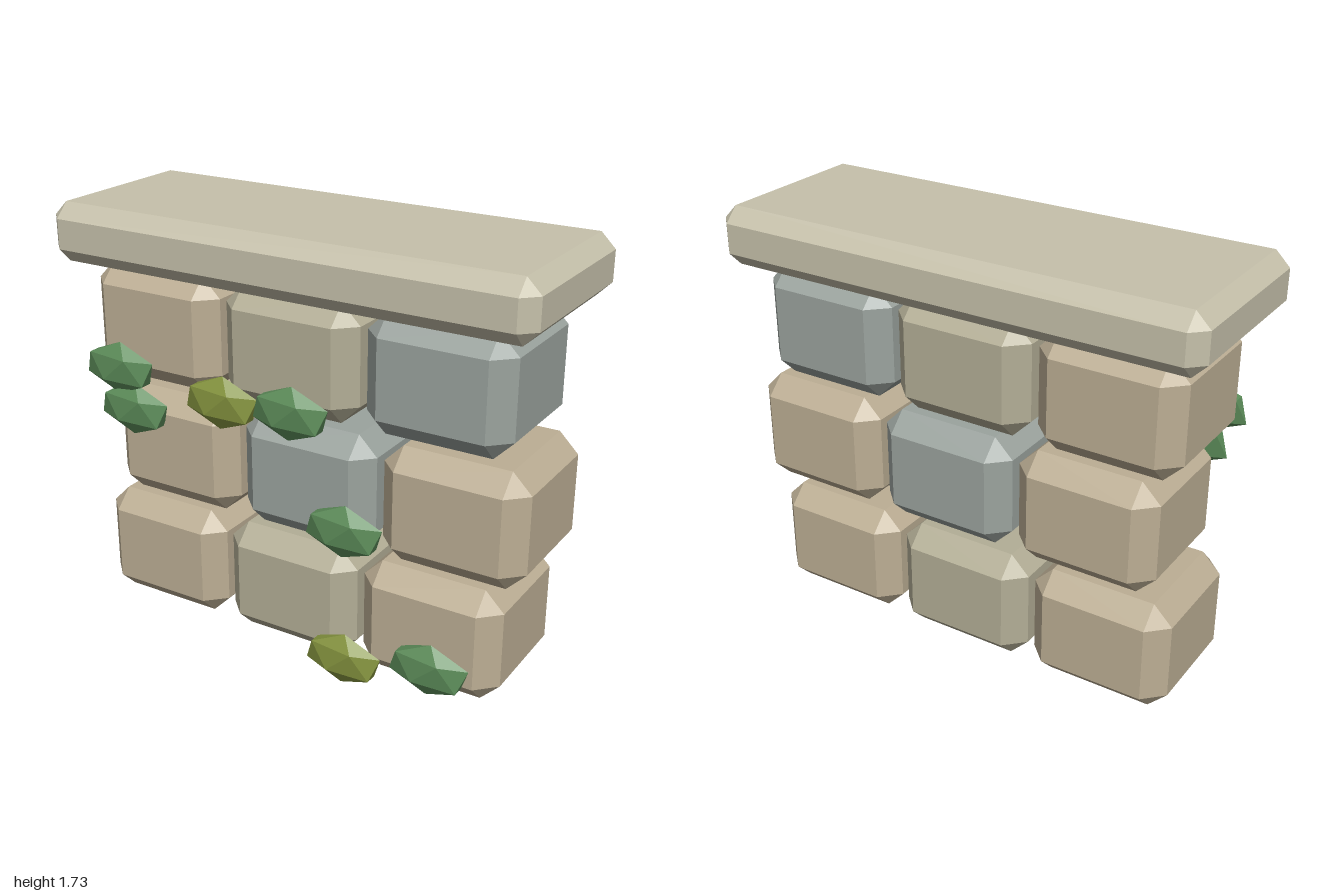
import * as THREE from 'three';
import { ConvexGeometry } from 'three/addons/geometries/ConvexGeometry.js';

const material = (color) => new THREE.MeshStandardMaterial({ color, flatShading: true });
const tan = material(0xbcae94);
const moss = material(0xb3ae96);
const slate = material(0x9ba39e);
const capStone = material(0xc6c1ab);
const green = material(0x5c8c59);
const olive = material(0x85943f);

// Box with every edge bevelled and triangular corners
function chamferedBox(w, h, d, c) {
  const points = [];
  for (const sx of [-1, 1]) for (const sy of [-1, 1]) for (const sz of [-1, 1]) {
    const [x, y, z] = [w / 2, h / 2, d / 2];
    points.push(
      new THREE.Vector3(sx * x, sy * (y - c), sz * (z - c)),
      new THREE.Vector3(sx * (x - c), sy * y, sz * (z - c)),
      new THREE.Vector3(sx * (x - c), sy * (y - c), sz * z),
    );
  }
  return new ConvexGeometry(points);
}

function addMesh(parent, name, geometry, mat, x, y, z) {
  const mesh = new THREE.Mesh(geometry, mat);
  mesh.name = name;
  mesh.position.set(x, y, z);
  parent.add(mesh);
}

export function createModel() {
  const model = new THREE.Group();
  model.name = 'stoneWall';

  // Three courses of blocks, the middle one shifted sideways
  const stones = new THREE.Group();
  stones.name = 'stones';
  model.add(stones);
  const block = chamferedBox(0.576, 0.459, 0.568, 0.077);
  const courses = [
    [tan, moss, tan],
    [tan, slate, tan],
    [tan, moss, slate],
  ];
  courses.forEach((course, row) => {
    const shift = row === 1 ? 0.076 : 0;
    course.forEach((mat, col) => {
      addMesh(stones, 'stoneBlock', block, mat,
        (col - 1) * 0.606 + shift - 0.002, 0.298 + row * 0.487, 0.002);
    });
  });

  // Overhanging slab on top
  addMesh(model, 'capSlab', chamferedBox(2, 0.232, 0.756, 0.057), capStone, 0, 1.624, 0);

  // Faceted leaf clumps on the front
  const leaves = new THREE.Group();
  leaves.name = 'leaves';
  model.add(leaves);
  const leaf = new THREE.IcosahedronGeometry(1, 0);
  leaf.rotateZ(-0.6).scale(0.178, 0.108, 0.049);
  const clumps = [
    [-0.743, 1.102, green], [-0.68, 0.942, green], [-0.257, 1.056, olive],
    [0.048, 1.077, green], [0.278, 0.658, green], [0.28, 0.113, olive],
    [0.645, 0.187, green],
  ];
  for (const [x, y, mat] of clumps) addMesh(leaves, 'leafClump', leaf, mat, x, y, 0.306);

  return model;
}
